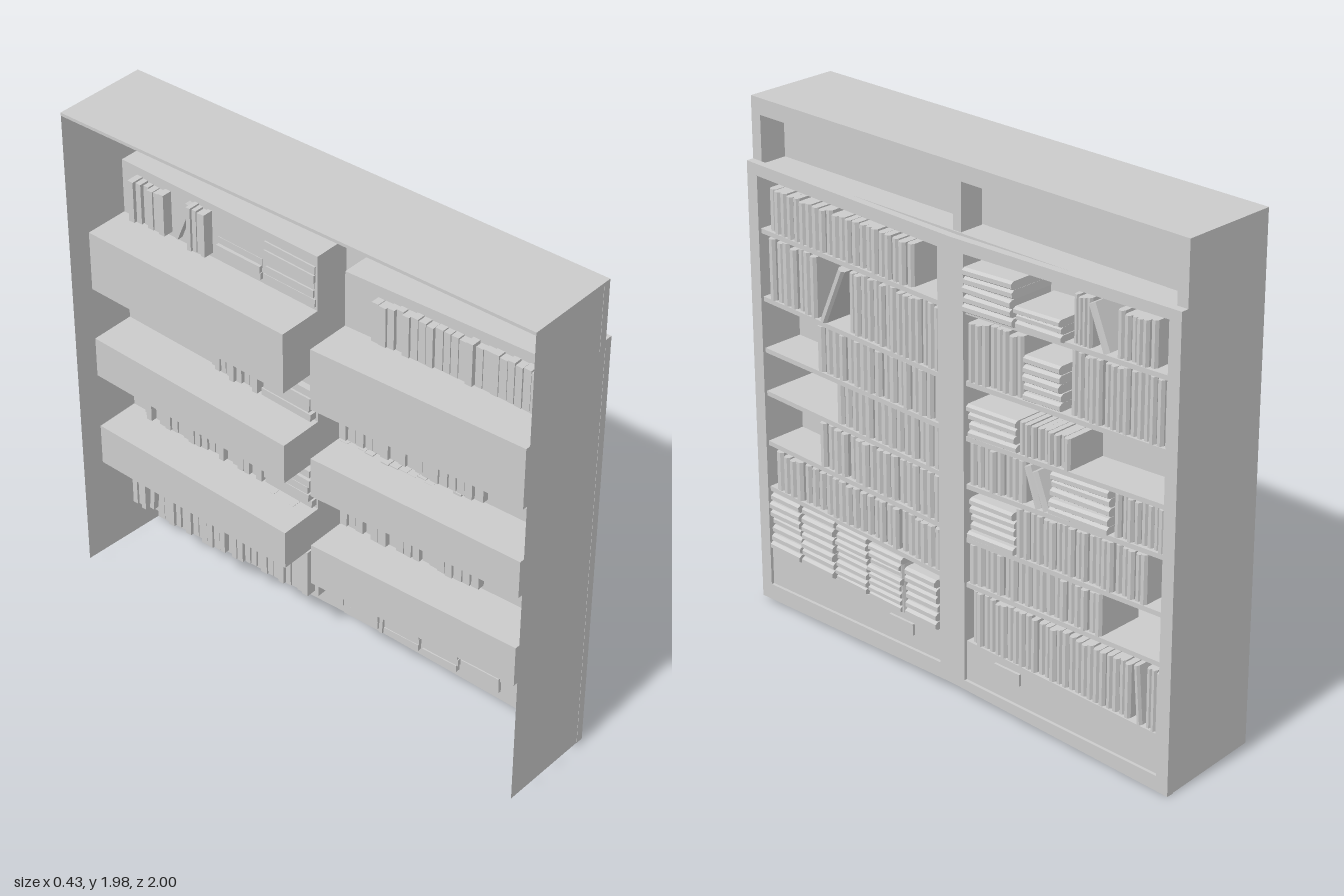
import * as THREE from 'three';

// Built in a local frame (u to the right, y up, w towards the viewer),
// then turned so the shelves open towards +x.
const mat = new THREE.MeshStandardMaterial({ color: 0xcccccc, flatShading: true });
const thin = new THREE.MeshStandardMaterial({ color: 0xcccccc, flatShading: true, side: THREE.DoubleSide });

let seed = 7;
const rnd = () => ((seed = (seed * 16807) % 2147483647) / 2147483647);
const lerp = THREE.MathUtils.lerp;
const path = (pts, C = THREE.Shape) => new C(pts.map(([x, y]) => new THREE.Vector2(x, y)));

function add(parent, name, geo, material = mat) {
  const m = new THREE.Mesh(geo, material);
  m.name = name;
  parent.add(m);
  return m;
}

// Flat outline with holes, given thickness between two depths
function slab(parent, name, pts, w0, w1, holes = []) {
  const s = path(pts);
  s.holes = holes.map(h => path(h, THREE.Path));
  const g = new THREE.ExtrudeGeometry(s, { depth: w1 - w0, bevelEnabled: false });
  return add(parent, name, g.translate(0, 0, w0));
}

// Open-fronted box whose floor and ceiling may slope
function recess(parent, name, q, back, front) {
  const pos = [...q.flatMap(([x, y]) => [x, y, front]), ...q.flatMap(([x, y]) => [x, y, back])];
  const g = new THREE.BufferGeometry();
  g.setAttribute('position', new THREE.Float32BufferAttribute(pos, 3));
  const idx = [4, 5, 6, 4, 6, 7];
  for (let i = 0; i < 4; i++) {
    const j = (i + 1) % 4;
    idx.push(i, j, j + 4, i, j + 4, i + 4);
  }
  g.setIndex(idx);
  const flat = g.toNonIndexed();
  flat.computeVertexNormals();
  return add(parent, name, flat, thin);
}

// Unit book: thickness along u, height along y, rounded spine at w = 0
const bookGeo = new THREE.ExtrudeGeometry(
  path([[-0.5, -1], [0.5, -1], [0.5, -0.06], [0.25, 0], [-0.25, 0], [-0.5, -0.06]]),
  { depth: 1, bevelEnabled: false }).rotateX(Math.PI / 2).translate(0, 1, 0);

function book(parent, u, y, w, t, h, d, rot = 0) {
  const m = add(parent, 'book', bookGeo);
  m.position.set(u, y, w);
  m.scale.set(t, h, d);
  m.rotation.z = rot;
}

// Each bay: inner and outer edges, and shelf heights at its left and right ends (top to bottom)
const bays = [
  { name: 'left', u: [-0.95, -0.06],
    l: [1.70, 1.50, 1.24, 1.04, 0.87, 0.67, 0.485, 0.23],
    r: [1.675, 1.475, 1.21, 1.02, 0.84, 0.64, 0.45, 0.215], bottom: [0.08, 0.095] },
  { name: 'right', u: [0.06, 0.95],
    l: [1.68, 1.48, 1.22, 1.015, 0.835, 0.63, 0.455, 0.225],
    r: [1.705, 1.51, 1.255, 1.06, 0.88, 0.67, 0.485, 0.21], bottom: [0.07, 0.06] },
];

// Shelf contents: up = [u0, u1, height, count], stack = same with flat books,
// lean = [base u, angle, height, thickness]
const contents = [
  [
    [['up', -0.92, -0.2, 0.165, 22]],
    [['up', -0.92, -0.675, 0.24, 7], ['lean', -0.64, -0.42, 0.24, 0.03], ['up', -0.52, -0.07, 0.24, 15]],
    [['up', -0.68, -0.07, 0.18, 17]],
    [['up', -0.59, -0.07, 0.165, 14]],
    [['up', -0.68, -0.07, 0.175, 17]],
    [['up', -0.92, -0.67, 0.155, 7], ['up', -0.66, -0.07, 0.16, 17]],
    [['stack', -0.94, -0.78, 0.235, 7], ['stack', -0.775, -0.6, 0.235, 7], ['stack', -0.595, -0.43, 0.23, 8],
      ['stack', -0.42, -0.25, 0.22, 8], ['lean', -0.25, 0.06, 0.19, 0.015], ['stack', -0.235, -0.07, 0.2, 6]],
  ],
  [
    [['stack', 0.065, 0.295, 0.165, 5], ['stack', 0.3, 0.51, 0.085, 3], ['up', 0.53, 0.61, 0.175, 4],
      ['lean', 0.685, 0.4, 0.17, 0.025], ['up', 0.72, 0.88, 0.165, 6]],
    [['up', 0.065, 0.31, 0.225, 8], ['stack', 0.315, 0.49, 0.165, 5], ['up', 0.52, 0.95, 0.235, 15]],
    [['stack', 0.065, 0.295, 0.125, 4], ['up', 0.3, 0.53, 0.12, 9]],
    [['up', 0.065, 0.325, 0.165, 8], ['lean', 0.395, 0.35, 0.15, 0.025], ['lean', 0.43, 0.38, 0.14, 0.022],
      ['stack', 0.44, 0.71, 0.165, 5], ['up', 0.725, 0.94, 0.16, 8]],
    [['stack', 0.065, 0.285, 0.16, 5], ['up', 0.29, 0.87, 0.185, 20]],
    [['up', 0.065, 0.68, 0.16, 19]],
    [['up', 0.075, 0.81, 0.21, 26], ['lean', 0.86, 0.08, 0.22, 0.02], ['up', 0.875, 0.95, 0.235, 3]],
  ],
];

function fillShelf(parent, items, floor, front) {
  for (const [kind, a, b, h, n] of items) {
    if (kind === 'lean') {
      book(parent, a, floor(a) + 0.005, 0.185, n, h, 0.2, b);
    } else if (kind === 'up') {
      const step = (b - a) / n;
      for (let i = 0; i < n; i++) {
        const u = a + (i + 0.5) * step;
        book(parent, u, floor(u), 0.165 + rnd() * 0.015, step * (0.8 + rnd() * 0.18),
          h * (0.93 + rnd() * 0.07), 0.19 + rnd() * 0.02);
      }
    } else {
      const step = h / n, mid = (a + b) / 2;
      for (let i = 0; i < n; i++) {
        const len = (b - a) * (0.9 + rnd() * 0.1);
        const tilt = (floor(b) - floor(a)) / (b - a) + (rnd() - 0.5) * 0.03;
        book(parent, mid + len / 2, floor(mid) + (i + 0.5) * step, front + rnd() * 0.015,
          step * 0.94, len, 0.2, Math.PI / 2 + tilt);
      }
    }
  }
}

export function createModel() {
  const root = new THREE.Group();
  const c = new THREE.Group();
  c.name = 'bookcase';
  c.rotation.y = Math.PI / 2;
  root.add(c);

  // Side panels, stepped at the cornice and open at the back and bottom
  for (const [u, y] of [[-1, 0.016], [1, 0]]) {
    const s = path([[0.22, 0.03], [-0.188, y], [-0.188, 1.745], [-0.16, 1.745], [-0.16, 1.975], [0.22, 1.975]]);
    const p = add(c, 'sidePanel', new THREE.ShapeGeometry(s), thin);
    p.rotation.y = Math.PI / 2;
    p.position.x = u * 0.999;
  }
  add(c, 'topBoard', new THREE.BoxGeometry(2, 0.012, 0.38).translate(0, 1.971, -0.03));

  // Front frame with two bay openings
  const openings = bays.map(({ u, l, r, bottom }) =>
    [[u[0], bottom[0]], [u[1], bottom[1]], [u[1], r[0]], [u[0], l[0]]]);
  slab(c, 'frontFrame', [[-1, 0.016], [0, 0.035], [1, 0], [1, 1.745], [0, 1.725], [-1, 1.745]], 0.16, 0.19, openings);

  // Cornice with a shallow recess and central divider
  const hole = [[-0.955, 1.735], [0.955, 1.735], [0.955, 1.915], [-0.955, 1.915]];
  slab(c, 'cornice', [[-1, 1.715], [1, 1.715], [1, 1.975], [-1, 1.975]], 0.13, 0.16, [hole]);
  recess(c, 'corniceRecess', hole, 0.05, 0.14);
  add(c, 'corniceDivider', new THREE.BoxGeometry(0.036, 0.19, 0.1).translate(0, 1.825, 0.105));

  bays.forEach(({ name, u, l, r, bottom }, b) => {
    const bay = new THREE.Group();
    bay.name = name + 'Bay';
    c.add(bay);
    for (let i = 0; i < 7; i++) {
      // Niches alternate between shallow and deep
      const t = i ? 0.018 : 0;
      recess(bay, 'niche', [[u[0], l[i + 1]], [u[1], r[i + 1]], [u[1], r[i] - t], [u[0], l[i] - t]],
        i % 2 ? -0.17 : 0.01, 0.17);
      slab(bay, 'shelf', [[u[0], l[i + 1] - 0.018], [u[1], r[i + 1] - 0.018], [u[1], r[i + 1]], [u[0], l[i + 1]]],
        0.01, 0.178);
      const floor = x => lerp(l[i + 1], r[i + 1], (x - u[0]) / (u[1] - u[0]));
      const books = new THREE.Group();
      books.name = 'shelfBooks';
      bay.add(books);
      fillShelf(books, contents[b][i], floor, b === 0 && i === 6 ? 0.185 : b === 1 && i === 0 ? 0.195 : 0.17);
    }
    // Drawer front with its label plate
    slab(bay, 'drawerFront', [[u[0], bottom[0]], [u[1], bottom[1]], [u[1], r[7] - 0.01], [u[0], l[7] - 0.01]], 0.15, 0.178);
    add(bay, 'labelPlate', new THREE.BoxGeometry(0.12, 0.046, 0.012).translate(b ? 0.26 : -0.26, 0.17, 0.182));
  });
  return root;
}
